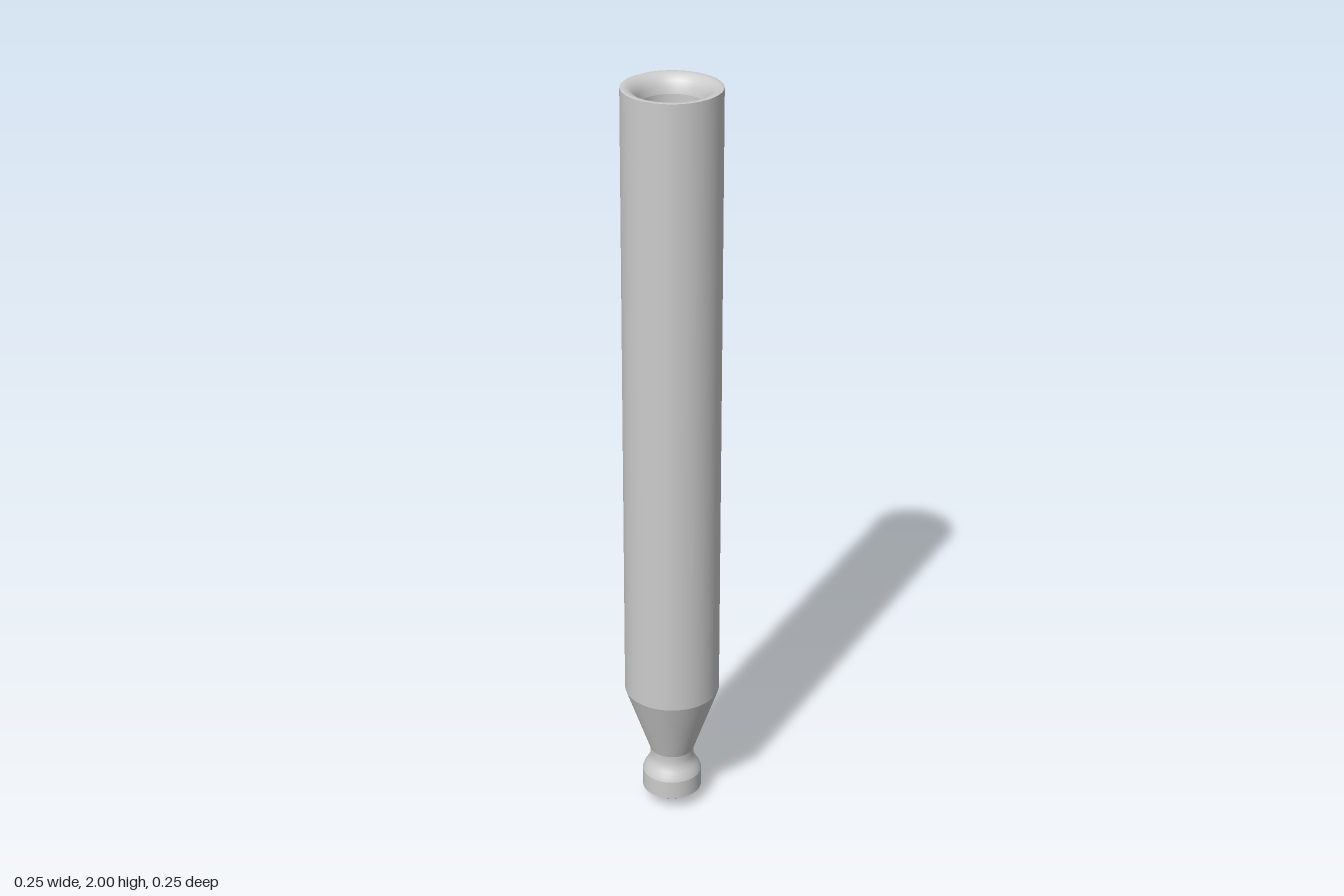
import * as THREE from 'three';

const material = new THREE.MeshStandardMaterial({ color: 0xcccccc });

// Each section is its own lathe, so creases stay sharp between sections
function turned(name, profile) {
  const points = profile.map(([r, y]) => new THREE.Vector2(r, y));
  const mesh = new THREE.Mesh(new THREE.LatheGeometry(points, 96), material);
  mesh.name = name;
  return mesh;
}

export function createModel() {
  const group = new THREE.Group();
  group.name = 'hollowTube';

  // Outside, from the tip upwards
  group.add(
    turned('tip', [[0.013, 0], [0.025, 0.004], [0.04, 0.012], [0.056, 0.022], [0.078, 0.038]]),
    turned('tipBand', [[0.078, 0.038], [0.078, 0.088]]),
    turned('neck', [[0.078, 0.088], [0.074, 0.1], [0.066, 0.112], [0.06, 0.124], [0.057, 0.138], [0.058, 0.156]]),
    turned('taper', [[0.058, 0.156], [0.124, 0.345]]),
    turned('barrel', [[0.124, 0.345], [0.124, 2]]),
  );

  // Rim, rolling over into the bore
  group.add(turned('rim', [
    [0.124, 1.998], [0.119, 2], [0.109, 1.999], [0.099, 1.994],
    [0.09, 1.985], [0.082, 1.972], [0.078, 1.955],
  ]));

  // Inside, from the rim down to the small outlet
  group.add(
    turned('bore', [[0.078, 1.955], [0.078, 0.36]]),
    turned('innerTaper', [[0.078, 0.36], [0.038, 0.16]]),
    turned('innerNeck', [[0.038, 0.16], [0.038, 0.075]]),
    turned('innerTip', [[0.038, 0.075], [0.034, 0.06], [0.026, 0.048], [0.013, 0.04]]),
    turned('outlet', [[0.013, 0.04], [0.013, 0]]),
  );

  return group;
}
